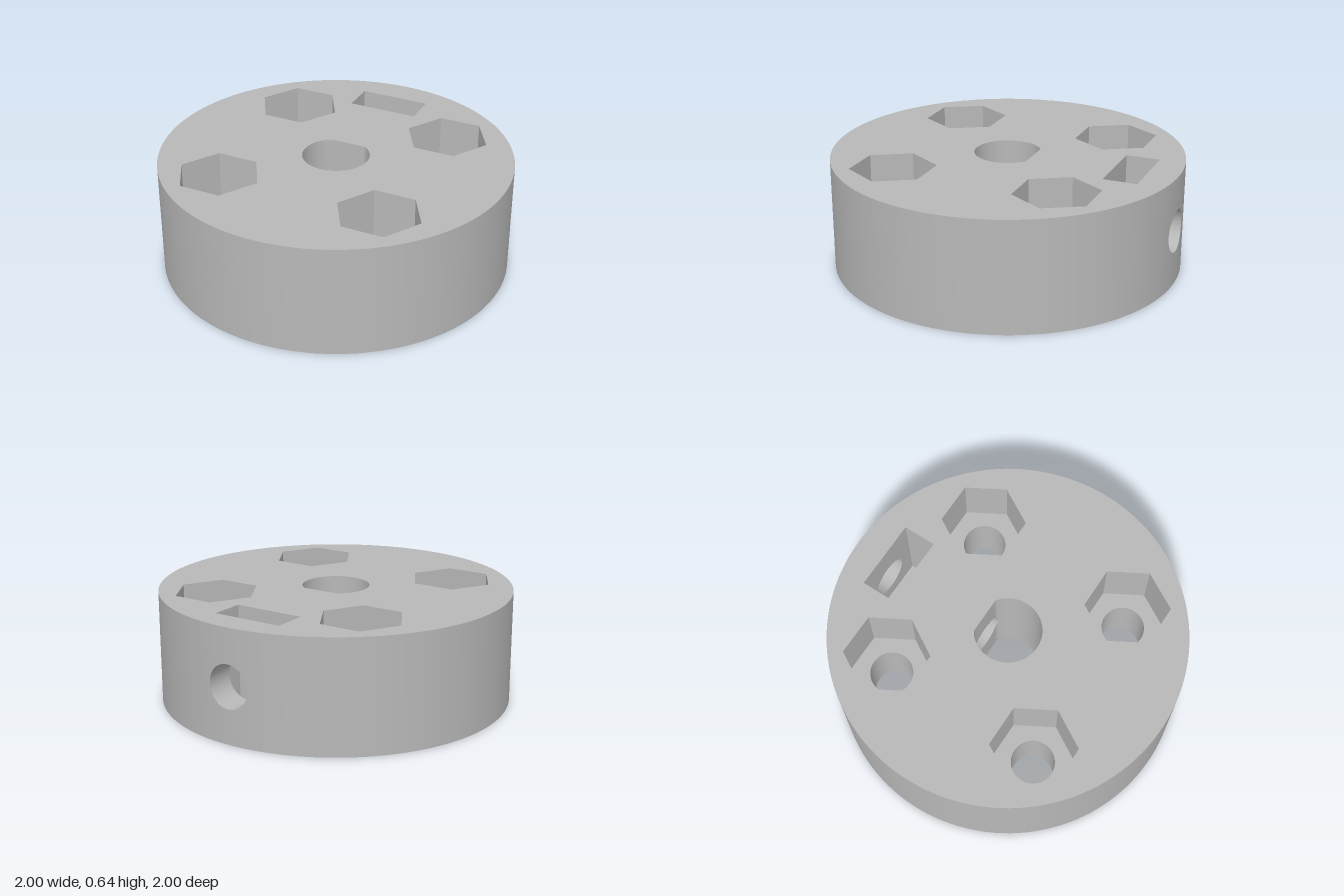
import * as THREE from 'three';
import { toCreasedNormals } from 'three/addons/utils/BufferGeometryUtils.js';

const R = 1, H = 0.64;                        // body
const BORE = 0.19, FLAT = 0.155;              // D-shaped shaft bore
const HOLE = 0.123;                           // screw holes
const BOLT = 0.48, HEX = 0.24, HEX_FLOOR = 0.32;
const SLOT = { x: 0.205, back: 0.83, front: 0.637, floor: 0.1 };
const MID = 0.32;                             // height of the set screw hole

export function createModel() {
  const model = new THREE.Group();
  const grey = new THREE.MeshStandardMaterial({ color: 0xb8b8b8, side: THREE.DoubleSide });
  grey.name = 'grey';

  function add(name, geometry, x = 0, y = 0, z = 0) {
    const mesh = new THREE.Mesh(geometry, grey);
    mesh.name = name;
    mesh.position.set(x, y, z);
    model.add(mesh);
  }

  // Surface from a point rule over a grid, u and v from 0 to 1
  function surface(rule, nu, nv) {
    const pos = [], index = [];
    for (let j = 0; j <= nv; j++)
      for (let i = 0; i <= nu; i++) pos.push(...rule(i / nu, j / nv));
    for (let j = 0; j < nv; j++)
      for (let i = 0; i < nu; i++) {
        const a = j * (nu + 1) + i, b = a + 1, c = a + nu + 1, d = c + 1;
        index.push(a, b, d, a, d, c);
      }
    const g = new THREE.BufferGeometry();
    g.setAttribute('position', new THREE.Float32BufferAttribute(pos, 3));
    g.setIndex(index);
    return toCreasedNormals(g, 0.45);
  }

  const circle = (x, y, r) => new THREE.Path().absarc(x, y, r, 0, Math.PI * 2, true);
  const polygon = (pts) => new THREE.Shape(pts.map(([x, y]) => new THREE.Vector2(x, y)));
  const rect = (x0, y0, x1, y1) => polygon([[x0, y0], [x1, y0], [x1, y1], [x0, y1]]);
  const level = (shape) => new THREE.ShapeGeometry(shape, 64).rotateX(-Math.PI / 2);
  const hexagon = (x, y) => polygon([0, 1, 2, 3, 4, 5].map((i) =>
    [x + HEX * Math.cos(i * Math.PI / 3), y + HEX * Math.sin(i * Math.PI / 3)]));
  const corners = [[-1, -1], [1, -1], [1, 1], [-1, 1]].map(([x, z]) => [x * BOLT, z * BOLT]);

  // Top and bottom faces
  const a = Math.asin(FLAT / BORE);
  const disc = () => {
    const s = new THREE.Shape().absarc(0, 0, R, 0, Math.PI * 2, false);
    s.holes.push(new THREE.Path().absarc(0, 0, BORE, a, Math.PI - a, true));
    return s;
  };
  const top = disc(), bottom = disc();
  for (const [x, z] of corners) {
    top.holes.push(hexagon(x, -z));
    bottom.holes.push(circle(x, -z, HOLE));
  }
  top.holes.push(rect(-SLOT.x, SLOT.front, SLOT.x, SLOT.back));
  add('topFace', level(top), 0, H);
  add('bottomFace', level(bottom));

  // Round wall whose back patch is pierced by the set screw hole
  const backZ = (r, flat) => (x) => -Math.min(flat, Math.sqrt(r * r - x * x));
  const clamp = (v) => THREE.MathUtils.clamp(v * Math.SQRT2, -1, 1);
  function piercedWall(name, r, w, z, segments) {
    const start = Math.asin(w / r);
    add(name, surface((u, v) => {
      const t = start + u * (Math.PI * 2 - 2 * start);
      return [r * Math.sin(t), v * H, -r * Math.cos(t)];
    }, segments, 1));
    add(name + 'BackPatch', surface((u, v) => {
      const c = Math.cos(u * Math.PI * 2), s = Math.sin(u * Math.PI * 2);
      const x = THREE.MathUtils.lerp(HOLE * c, w * clamp(c), v);
      return [x, MID + THREE.MathUtils.lerp(HOLE * s, H / 2 * clamp(s), v), z(x)];
    }, 64, 8));
  }
  const outerZ = backZ(R, R), boreZ = backZ(BORE, FLAT);
  piercedWall('outerWall', R, 0.2, outerZ, 120);
  piercedWall('shaftBore', BORE, 0.16, boreZ, 64);

  // Set screw hole, from the rim to the slot and on to the bore
  const sleeve = (from, to) => surface((u, v) => {
    const x = HOLE * Math.cos(u * Math.PI * 2);
    return [x, MID + HOLE * Math.sin(u * Math.PI * 2), THREE.MathUtils.lerp(from(x), to(x), v)];
  }, 48, 1);
  add('setScrewHoleOuter', sleeve(outerZ, () => -SLOT.back));
  add('setScrewHoleInner', sleeve(() => -SLOT.front, boreZ));

  // Slot for the captive nut
  const slotWall = rect(-SLOT.x, SLOT.floor, SLOT.x, H);
  slotWall.holes.push(circle(0, MID, HOLE));
  add('slotBackWall', new THREE.ShapeGeometry(slotWall, 24), 0, 0, -SLOT.back);
  add('slotFrontWall', new THREE.ShapeGeometry(slotWall, 24).rotateY(Math.PI), 0, 0, -SLOT.front);
  for (const s of [-1, 1])
    add('slotEndWall', new THREE.PlaneGeometry(SLOT.back - SLOT.front, H - SLOT.floor).rotateY(-s * Math.PI / 2),
      s * SLOT.x, (H + SLOT.floor) / 2, -(SLOT.back + SLOT.front) / 2);
  add('slotFloor', level(rect(-SLOT.x, SLOT.front, SLOT.x, SLOT.back)), 0, SLOT.floor);

  // Hexagonal pockets with screw holes below
  for (const [x, z] of corners) {
    const floor = hexagon(0, 0);
    floor.holes.push(circle(0, 0, HOLE));
    const depth = H - HEX_FLOOR;
    add('hexPocketFloor', level(floor), x, HEX_FLOOR, z);
    add('hexPocketWall', toCreasedNormals(
      new THREE.CylinderGeometry(HEX, HEX, depth, 6, 1, true, Math.PI / 2), 0.45), x, HEX_FLOOR + depth / 2, z);
    add('screwHole', new THREE.CylinderGeometry(HOLE, HOLE, HEX_FLOOR, 48, 1, true), x, HEX_FLOOR / 2, z);
  }
  return model;
}
